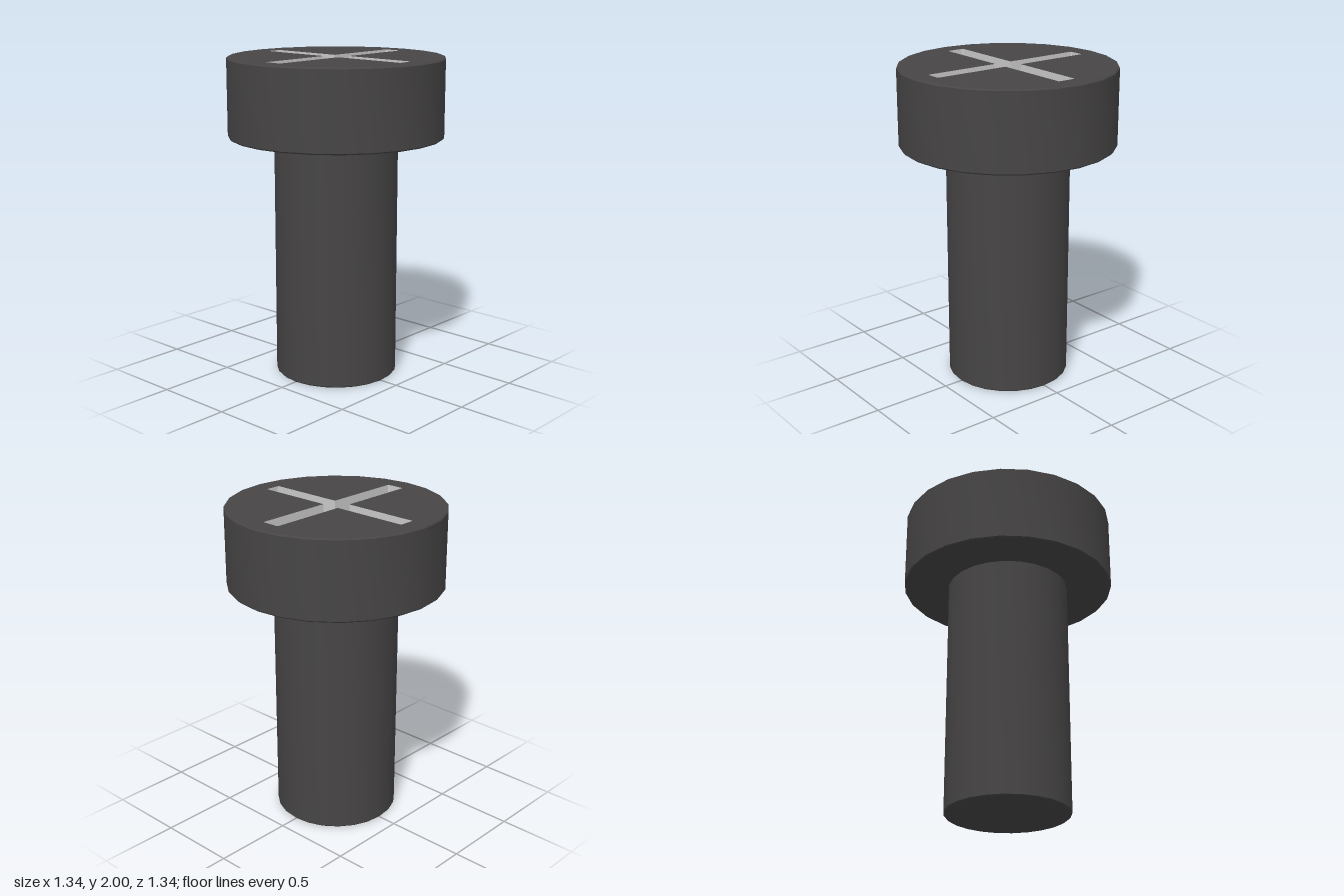
import * as THREE from 'three';
import { toCreasedNormals } from 'three/addons/utils/BufferGeometryUtils.js';

const SIDES = 24;
const HEAD_R = 0.668, SHAFT_R = 0.383, HEAD_Y = 1.51, TOP_Y = 2, BEVEL = 0.008;
const SLOT_DEPTH = 0.1, SLOT_LEN = 0.542, HALF_X = 0.058, HALF_Z = 0.05, CHAMFER = 0.01;

const vec = (x, y) => new THREE.Vector2(x, y);

// Turned part, smooth around and sharp at its rims
function turned(name, profile, material) {
  const points = profile.map(([r, y]) => vec(r, y));
  const mesh = new THREE.Mesh(toCreasedNormals(new THREE.LatheGeometry(points, SIDES), 0.5), material);
  mesh.name = name;
  return mesh;
}

// Counter-clockwise outline of the cross slot, one mirrored arm per quarter turn
function crossOutline() {
  const points = [];
  for (let i = 0; i < 4; i++) {
    const half = i % 2 ? HALF_X : HALF_Z;
    const other = i % 2 ? HALF_Z : HALF_X;
    const arm = [[SLOT_LEN - CHAMFER / 2, -half], [SLOT_LEN, -half + CHAMFER],
      [SLOT_LEN, half - CHAMFER], [SLOT_LEN - CHAMFER / 2, half], [other, half]];
    for (const [x, y] of arm) points.push(vec(x, y).rotateAround(vec(0, 0), i * Math.PI / 2));
  }
  return points;
}

// Slot walls, facing into the recess
function wallGeometry(outline) {
  const positions = [];
  outline.forEach((a, i) => {
    const b = outline[(i + 1) % outline.length];
    positions.push(a.x, a.y, 0, b.x, b.y, 0, b.x, b.y, -SLOT_DEPTH);
    positions.push(a.x, a.y, 0, b.x, b.y, -SLOT_DEPTH, a.x, a.y, -SLOT_DEPTH);
  });
  const geometry = new THREE.BufferGeometry();
  geometry.setAttribute('position', new THREE.Float32BufferAttribute(positions, 3));
  geometry.computeVertexNormals();
  return geometry;
}

export function createModel() {
  const model = new THREE.Group();
  model.name = 'screw';
  const dark = new THREE.MeshStandardMaterial({ color: 0x474545 });
  const grey = new THREE.MeshStandardMaterial({ color: 0xcccccc });

  // Shaft and the rim of the head
  model.add(turned('shaft', [[0, 0], [SHAFT_R - BEVEL, 0], [SHAFT_R, BEVEL], [SHAFT_R, HEAD_Y]], dark));
  model.add(turned('headRim', [[SHAFT_R, HEAD_Y], [HEAD_R - BEVEL, HEAD_Y], [HEAD_R, HEAD_Y + BEVEL],
    [HEAD_R, TOP_Y - BEVEL], [HEAD_R - BEVEL, TOP_Y]], dark));

  // Top face with the cross cut out, and the recess below it
  const outline = crossOutline();
  const disc = new THREE.Shape(Array.from({ length: SIDES }, (_, i) => {
    const angle = i * 2 * Math.PI / SIDES;
    return vec(Math.cos(angle), Math.sin(angle)).multiplyScalar(HEAD_R - BEVEL);
  }));
  disc.holes.push(new THREE.Path(outline));
  const floor = new THREE.ShapeGeometry(new THREE.Shape(outline)).translate(0, 0, -SLOT_DEPTH);
  const flatParts = [
    ['headTop', new THREE.ShapeGeometry(disc), dark],
    ['slotFloor', floor, grey],
    ['slotWalls', wallGeometry(outline), grey],
  ];
  for (const [name, geometry, material] of flatParts) {
    geometry.rotateX(-Math.PI / 2).translate(0, TOP_Y, 0);
    const mesh = new THREE.Mesh(geometry, material);
    mesh.name = name;
    model.add(mesh);
  }
  return model;
}
